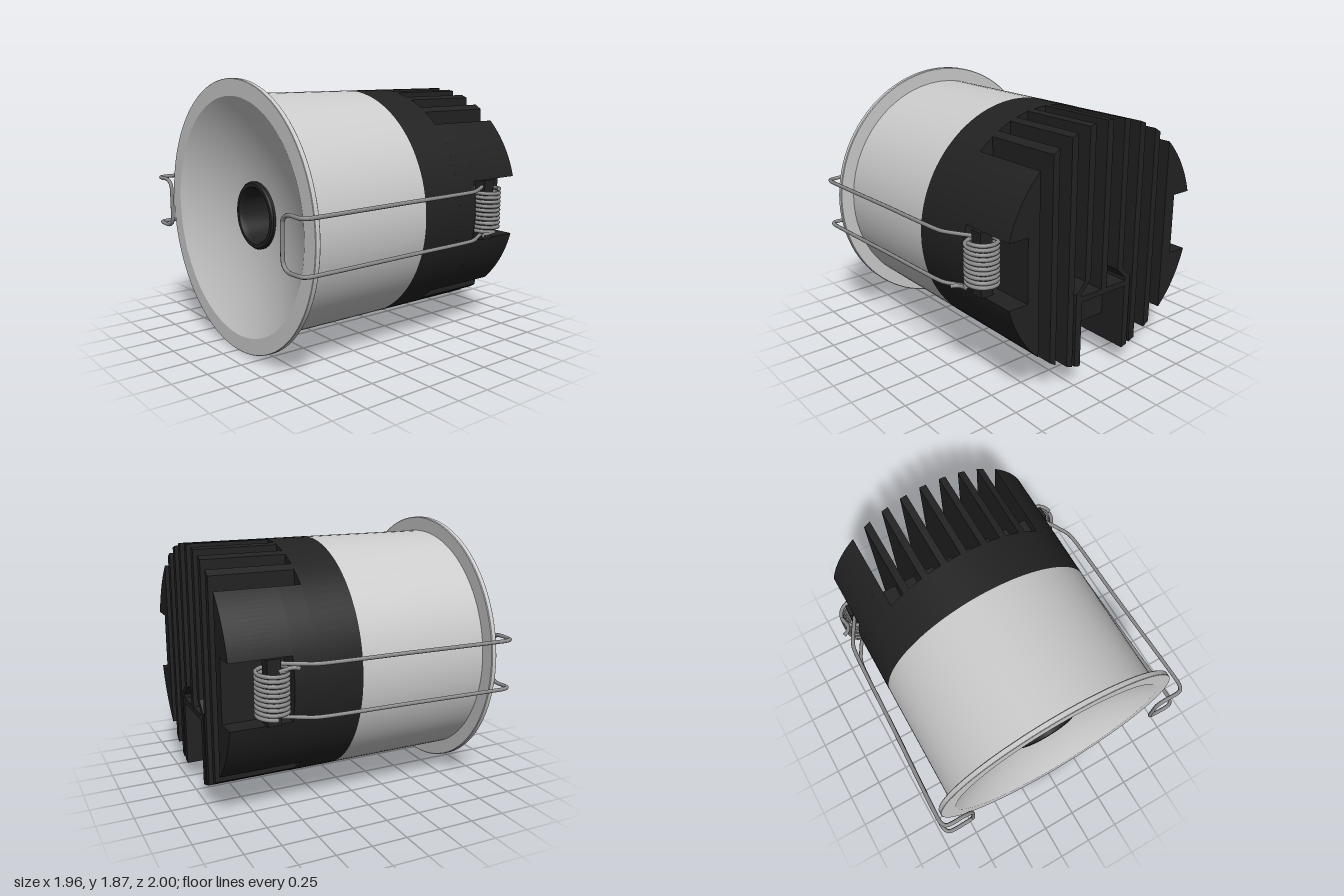
import * as THREE from 'three';
import { toCreasedNormals } from 'three/addons/utils/BufferGeometryUtils.js';

const R = 0.833;          // housing radius
const AXIS_Y = 0.937;     // height of the optical axis
const chord = (x) => Math.sqrt(R * R - x * x);

export function createModel() {
  const mat = (name, color, side = THREE.FrontSide) => {
    const m = new THREE.MeshStandardMaterial({ color, side });
    m.name = name;
    return m;
  };
  const silver = mat('light grey housing', 0xcccccc, THREE.DoubleSide);
  const black = mat('black heat sink', 0x222222, THREE.DoubleSide);
  const steel = mat('steel wire', 0x8c8c8c);
  const white = mat('white lens', 0xffffff);

  const root = new THREE.Group();
  root.name = 'recessedDownlight';
  const lamp = new THREE.Group();
  lamp.name = 'lampAssembly';
  lamp.position.y = AXIS_Y;
  root.add(lamp);

  const add = (name, geometry, material, parent = lamp) => {
    const mesh = new THREE.Mesh(geometry, material);
    mesh.name = name;
    parent.add(mesh);
    return mesh;
  };
  // Turned part about the z axis, profile given as [radius, z]
  const turned = (profile) => {
    const g = new THREE.LatheGeometry(profile.map(([r, z]) => new THREE.Vector2(r, z)), 96);
    return toCreasedNormals(g.rotateX(Math.PI / 2), 0.4);
  };
  // Flat outline in x, y extruded between two depths
  const slab = (points, z0, z1) => {
    const shape = new THREE.Shape(points.map(([x, y]) => new THREE.Vector2(x, y)));
    const g = new THREE.ExtrudeGeometry(shape, { depth: z1 - z0, bevelEnabled: false });
    return g.translate(0, 0, z0);
  };
  const block = (x0, x1, y0, y1, z0, z1) =>
    new THREE.BoxGeometry(x1 - x0, y1 - y0, z1 - z0)
      .translate((x0 + x1) / 2, (y0 + y1) / 2, (z0 + z1) / 2);
  const arc = (r, a0, a1, n) =>
    Array.from({ length: n + 1 }, (_, i) => {
      const a = a0 + ((a1 - a0) * i) / n;
      return [r * Math.cos(a), r * Math.sin(a)];
    });

  // Housing sleeve and trim flange
  add('housing', turned([[R, -0.1], [R, 0.842]]), silver);
  add('trimFlange', turned([[R, 0.842], [0.93, 0.842], [0.935, 0.847], [0.935, 0.877], [0.932, 0.88], [0.82, 0.88]]), silver);

  // Shallow curved reflector
  const bowl = [];
  for (let i = 0; i <= 16; i++) {
    const r = 0.82 - (0.61 * i) / 16;
    bowl.push([r, 0.88 - (0.82 * 0.82 - r * r) / 3.46]);
  }
  add('reflector', turned(bowl), silver);

  // Aperture ring, its deep bore and the lens at the bottom
  add('apertureRing', turned([[0.235, 0.62], [0.235, 0.72], [0.225, 0.732], [0.2, 0.732], [0.186, 0.715], [0.182, 0.69], [0.182, 0.4]]), black);
  add('lens', turned([[0.183, 0.42], [0.13, 0.425], [0.08, 0.44], [0.04, 0.455], [0, 0.465]]), white);

  // Solid front part of the heat sink and its inner core
  add('heatSinkBody', turned([[0, -0.42], [R, -0.42], [R, -0.1], [0, -0.1]]), black);
  add('heatSinkCore', block(-0.57, 0.57, -0.52, 0.52, -0.58, -0.42), black);

  // Vertical fins; a jog moves the lower half sideways
  const fin = (x, jog = 0, end = null) => {
    const l = x - 0.025, r = x + 0.025;
    const bottom = (u) => (end === null ? -chord(u) : end);
    const y1 = -0.2 - Math.abs(jog);
    const pts = [[l, chord(l)]];
    if (jog) pts.push([l, -0.2], [l + jog, y1]);
    pts.push([l + jog, bottom(l + jog)], [r + jog, bottom(r + jog)]);
    if (jog) pts.push([r + jog, y1], [r, -0.2]);
    pts.push([r, chord(r)]);
    add('coolingFin', slab(pts, -1, -0.42), black);
  };
  fin(0, 0, -0.3);
  for (const s of [-1, 1]) {
    fin(s * 0.15, s * 0.075);
    fin(s * 0.297);
    fin(s * 0.445);
  }

  // Cable pocket between the jogged fins
  add('pocketShelf', block(-0.2, 0.2, -0.34, -0.3, -1, -0.5), black);
  add('pocketBox', block(-0.2, 0.2, -0.62, -0.34, -0.8, -0.42), black);

  // Side walls, each with a notch for the spring
  const edge = Math.acos(0.57 / R);
  const notch = Math.asin(0.215 / R);
  const upper = [[0.57, 0.215], ...arc(R, notch, edge, 16)];
  const lower = upper.map(([x, y]) => [x, -y]).reverse();
  for (const turn of [0, Math.PI]) {
    const side = new THREE.Group();
    side.name = turn ? 'rightSide' : 'leftSide';
    side.rotation.z = turn;
    lamp.add(side);
    add('sideShoulder', toCreasedNormals(slab(arc(R, -edge, edge, 40), -0.58, -0.42), 0.4), black, side);
    add('upperSideWall', toCreasedNormals(slab(upper, -1, -0.58), 0.4), black, side);
    add('lowerSideWall', toCreasedNormals(slab(lower, -1, -0.58), 0.4), black, side);
    add('notchFloor', block(0.57, 0.66, -0.215, 0.215, -1, -0.58), black, side);
    add('springPost', block(0.74, 0.83, -0.215, 0.215, -0.76, -0.67), black, side);
    addSpring(side);
  }

  // Coil spring with a long wire clip reaching past the flange
  function addSpring(side) {
    const wire = 0.014, cx = 0.79, cz = -0.715, cr = 0.102, turns = 10;
    const v = (x, y, z) => new THREE.Vector3(x, y, z);
    const coil = [];
    for (let i = 0; i <= turns * 16; i++) {
      const a = (i / 16) * Math.PI * 2;
      coil.push(v(cx + cr * Math.cos(a), -0.15 + (0.305 * i) / (turns * 16), cz + cr * Math.sin(a)));
    }
    const tube = (name, pts, steps, tension = 0.5) =>
      add(name, new THREE.TubeGeometry(
        new THREE.CatmullRomCurve3(pts, false, tension === 0 ? 'centripetal' : 'catmullrom', tension), steps, wire, 8), steel, side);
    tube('springCoil', coil, turns * 24);
    tube('springTail', [
      v(cx + cr, -0.15, cz), v(0.882, -0.158, -0.66), v(0.882, -0.163, -0.625),
      v(0.9, -0.165, -0.595), v(0.935, -0.165, -0.578)], 20);

    // Half of the clip, mirrored in y for the return leg
    const yc = -0.006, h = 0.172;
    const half = [
      [0.79, h, -0.69], [0.815, h, -0.65], [0.905, h, -0.49], [0.917, h, -0.45],
      [0.94, h, 0.2], [0.964, h, 0.88], [0.962, h, 0.94], [0.945, h, 0.975], [0.915, h, 0.985],
      [0.81, h, 0.985], [0.772, h - 0.015, 0.985], [0.75, h - 0.04, 0.985], [0.745, h - 0.075, 0.985]];
    const legs = [...half, ...half.map(([x, y, z]) => [x, -y, z]).reverse()];
    tube('wireClip', legs.map(([x, y, z]) => v(x, y + yc, z)), 240, 0);
  }

  return root;
}
